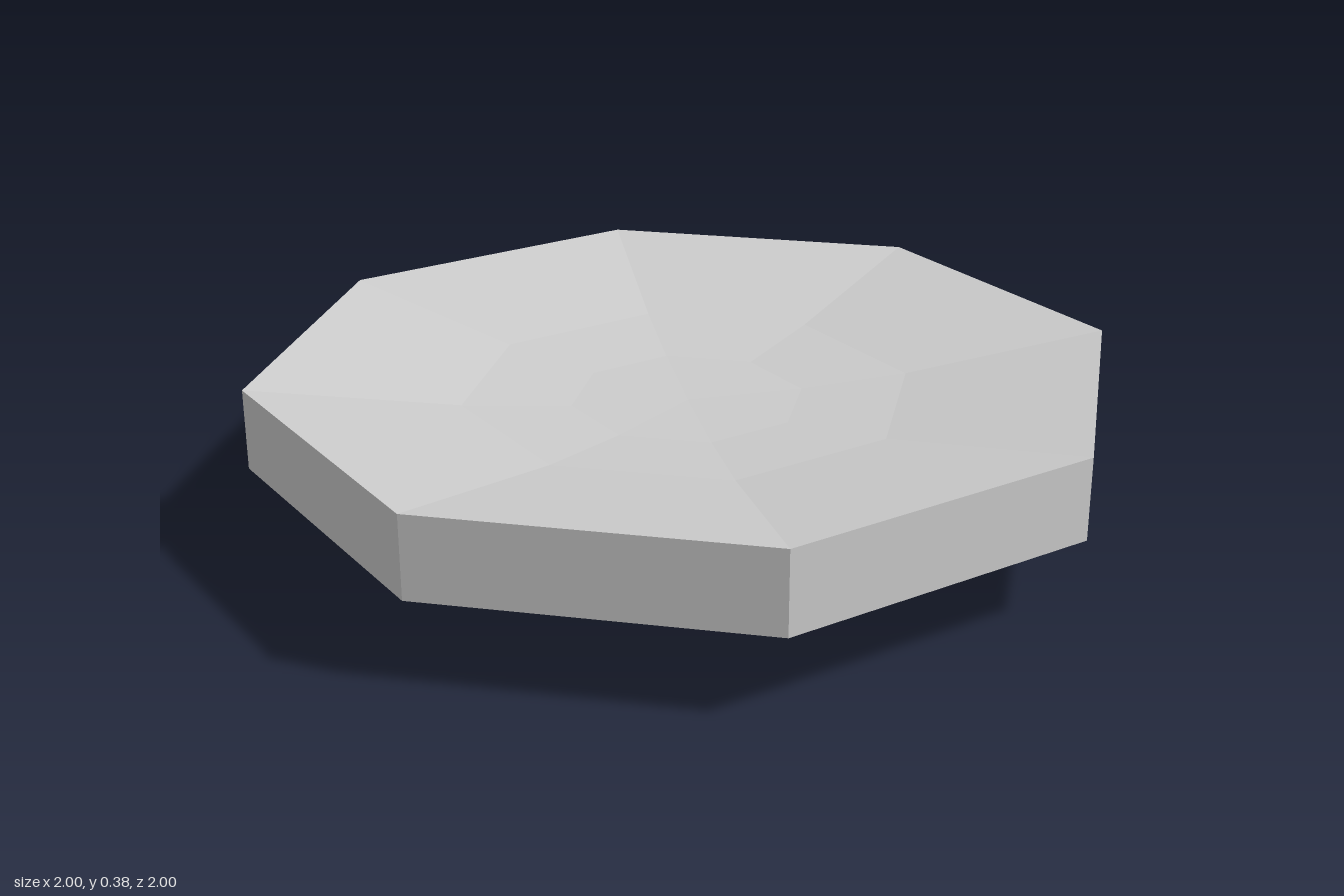
import * as THREE from 'three';

const SIDES = 8;
const RIM_LOW = 0.197;   // lower edge of the side wall
const RIM_TOP = 0.385;   // upper edge of the side wall
const BASE_SAG = 0.192;  // bulge of the underside
const DISH_SAG = 0.1;    // depth of the hollow on top

export function createModel() {
  const group = new THREE.Group();
  const material = new THREE.MeshStandardMaterial({ color: 0xcccccc, flatShading: true });

  // Revolve a profile into a faceted octagonal part
  const addPart = (name, profile) => {
    const points = profile.map(([r, y]) => new THREE.Vector2(r, y));
    const mesh = new THREE.Mesh(new THREE.LatheGeometry(points, SIDES), material);
    mesh.name = name;
    group.add(mesh);
  };

  // Height of a shallow bowl at radius r
  const bowl = (rim, sag) => (r) => [r, rim - sag * (1 - r * r)];

  // Bulging underside
  addPart('underside', [0, 0.2, 0.47, 0.79, 0.94, 1].map(bowl(RIM_LOW, BASE_SAG)));

  // Upright side wall
  addPart('sideWall', [[1, RIM_LOW], [1, RIM_TOP]]);

  // Hollow top, from the rim inward so that it faces up
  addPart('hollowTop', [1, 0.52, 0.27, 0].map(bowl(RIM_TOP, DISH_SAG)));

  return group;
}
